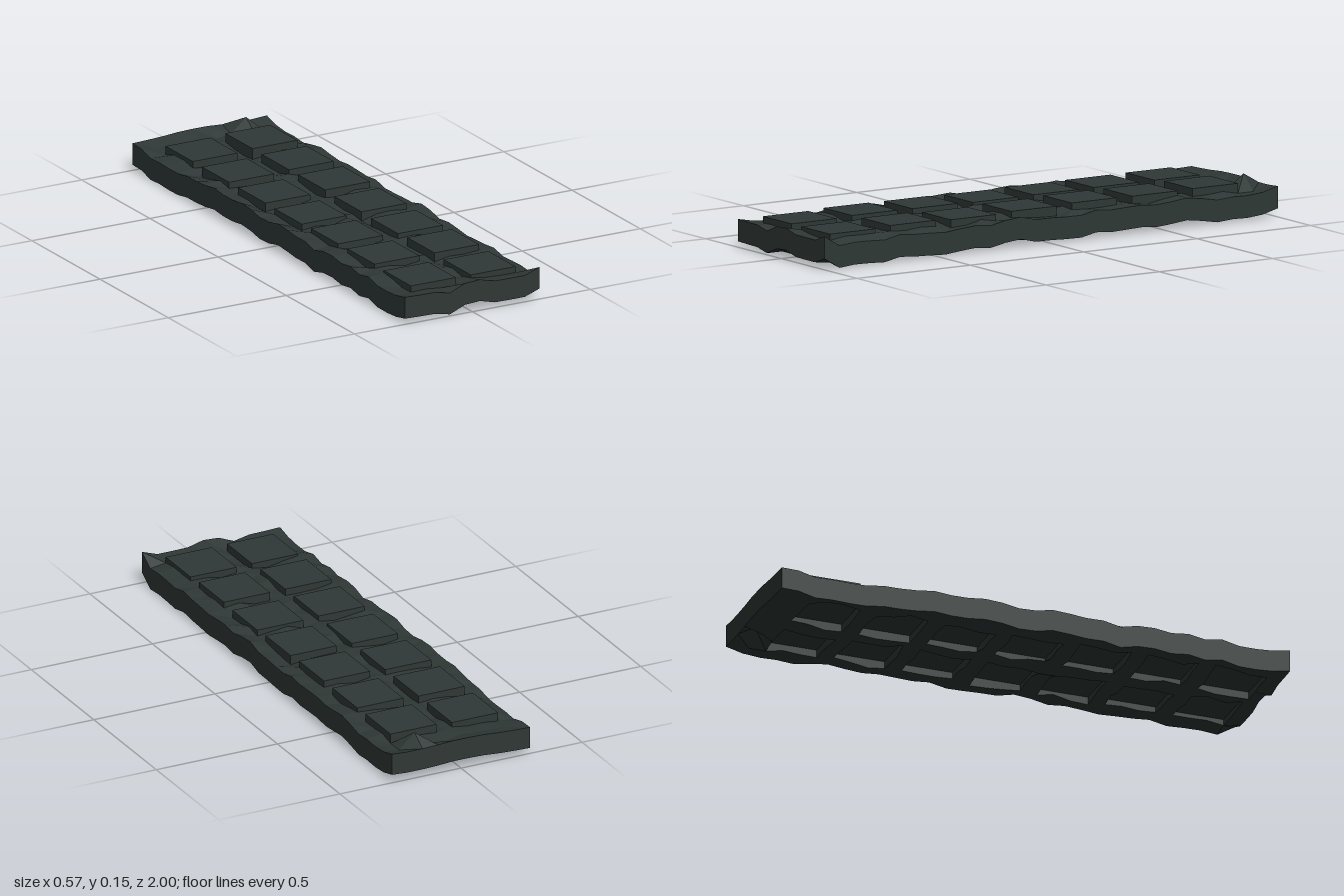
import * as THREE from 'three';

const NX = 9, NZ = 30, WIDTH = 0.57, LENGTH = 2, THICK = 0.083;

// Heights of the top surface along the two short ends, from -x to +x
const FRONT = [0.108, 0.106, 0.105, 0.092, 0.118, 0.122, 0.106, 0.105, 0.105, 0.127];
const BACK = [0.108, 0.11, 0.113, 0.118, 0.12, 0.12, 0.116, 0.114, 0.114, 0.118];

// Seeded roughness, from 0 to 1
function rough(i, k) {
  const s = Math.sin(i * 127.1 + k * 311.7 + 4.3) * 43758.5453;
  return s - Math.floor(s);
}

function slabHeight(i, k) {
  if (k === NZ) return FRONT[i];
  if (k === 0) return BACK[i];
  if (i === 7 && k === 1) return 0.153; // lone peak by the back end
  return 0.085 + 0.031 * (0.7 * rough(i, k) + 0.3 * rough(i, k + 1));
}

// Pads are three cells square with one cell between them
const inPad = (i, k) => i % 4 !== 0 && k >= 2 && k < 29 && (k - 2) % 4 !== 3;

const point = (i, k, y) => [(i / NX - 0.5) * WIDTH, y, (k / NZ - 0.5) * LENGTH];

function quad(out, a, b, c, d) {
  out.push(...a, ...b, ...c, ...a, ...c, ...d);
}

function makeMesh(name, positions, material) {
  const geometry = new THREE.BufferGeometry();
  geometry.setAttribute('position', new THREE.Float32BufferAttribute(positions, 3));
  geometry.computeVertexNormals();
  const mesh = new THREE.Mesh(geometry, material);
  mesh.name = name;
  return mesh;
}

// One cell of a surface, with its matching underside
function shellCell(out, i, k, height) {
  const corner = (di, dk, drop) => point(i + di, k + dk, height(i + di, k + dk) - drop);
  quad(out, corner(0, 0, 0), corner(0, 1, 0), corner(1, 1, 0), corner(1, 0, 0));
  quad(out, corner(0, 0, THICK), corner(1, 0, THICK), corner(1, 1, THICK), corner(0, 1, THICK));
}

// Upright strip between two grid points, facing right of the walking direction
function wall(out, p, q, top, bottom) {
  quad(out, point(...p, bottom(...p)), point(...q, bottom(...q)), point(...q, top(...q)), point(...p, top(...p)));
}

// Grid edges around a rectangle, counter-clockwise from above
function outline(i0, i1, k0, k1) {
  const edges = [];
  for (let i = i0; i < i1; i++) edges.push([[i, k1], [i + 1, k1]], [[i + 1, k0], [i, k0]]);
  for (let k = k0; k < k1; k++) edges.push([[i1, k + 1], [i1, k]], [[i0, k], [i0, k + 1]]);
  return edges;
}

export function createModel() {
  const model = new THREE.Group();
  model.name = 'paddedSlab';
  const material = new THREE.MeshStandardMaterial({ color: 0x2f3836, flatShading: true });
  material.name = 'darkGreyGreen';

  // Rough slab around the pads, with its outer edge
  const slab = [];
  for (let i = 0; i < NX; i++) {
    for (let k = 0; k < NZ; k++) if (!inPad(i, k)) shellCell(slab, i, k, slabHeight);
  }
  const slabUnder = (i, k) => slabHeight(i, k) - THICK;
  for (const [p, q] of outline(0, NX, 0, NZ)) wall(slab, p, q, slabHeight, slabUnder);
  model.add(makeMesh('slab', slab, material));

  // Two columns of flat raised pads, hollowed below
  const levels = [[0.126, 0.125, 0.124, 0.122, 0.125, 0.126, 0.121], [0.132, 0.13, 0.131, 0.126, 0.121, 0.126, 0.12]];
  levels.forEach((column, c) => column.forEach((level, r) => {
    const pad = [], i0 = 1 + 4 * c, k0 = 2 + 4 * r;
    const padTop = () => level, padUnder = () => level - THICK;
    for (let i = i0; i < i0 + 3; i++) {
      for (let k = k0; k < k0 + 3; k++) shellCell(pad, i, k, padTop);
    }
    for (const [p, q] of outline(i0, i0 + 3, k0, k0 + 3)) {
      wall(pad, p, q, padTop, slabHeight);
      wall(pad, q, p, padUnder, slabUnder);
    }
    model.add(makeMesh(`${c ? 'left' : 'right'}Pad${r + 1}`, pad, material));
  }));
  return model;
}
